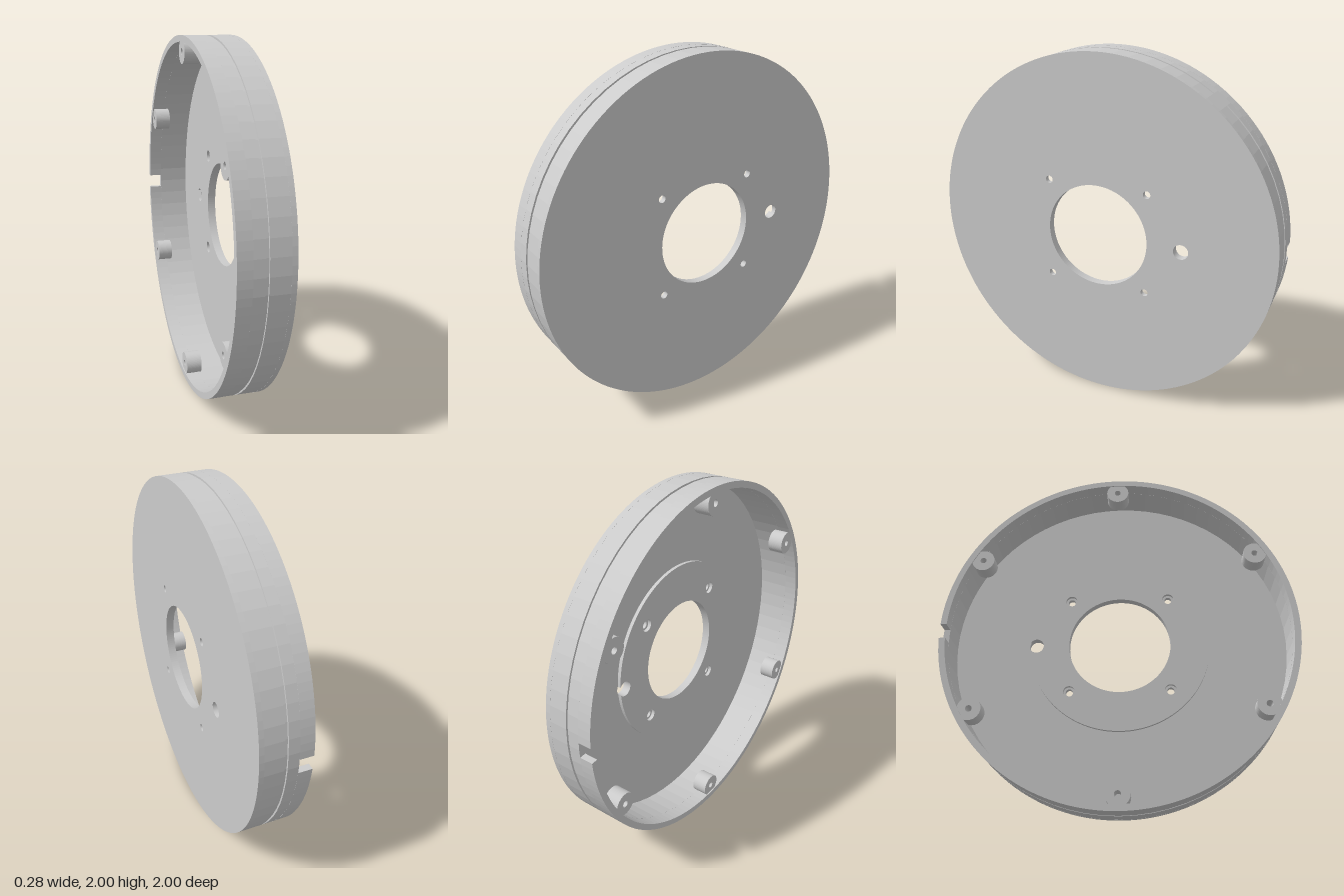
import * as THREE from 'three';

const SEG = 72;
const R = 1, R_IN = 0.965;                       // rim radii
const FACE = 0.14, FLOOR = 0.113, BOSS = 0.094;  // plate outside, pocket floor, boss top (x)
const OPEN = -0.14, SLOT = -0.065;               // open edge, bottom of rim slot (x)
const HUB = 0.297, CABLE_R = 0.042, CABLE_POS = 0.49, SCREW = 0.29;

const material = new THREE.MeshStandardMaterial({ color: 0xcccccc, flatShading: true });

function circle(x, y, r) {
  const p = new THREE.Path();
  p.absarc(x, y, r, 0, Math.PI * 2, true);
  return p;
}

// Extrudes a shape along x from x0 to x1 (shape x runs towards -z)
function slab(name, shape, x0, x1, segments = SEG) {
  const geo = new THREE.ExtrudeGeometry(shape, { depth: x1 - x0, bevelEnabled: false, curveSegments: segments });
  geo.rotateY(Math.PI / 2);
  geo.translate(x0, 0, 0);
  const mesh = new THREE.Mesh(geo, material);
  mesh.name = name;
  return mesh;
}

function addHubHoles(shape, screwRadius) {
  shape.holes.push(circle(0, 0, HUB));
  for (const sx of [-1, 1]) for (const sy of [-1, 1])
    shape.holes.push(circle(sx * SCREW, sy * SCREW, screwRadius));
}

export function createModel() {
  const model = new THREE.Group();
  const body = new THREE.Group();
  body.name = 'roundHousing';
  body.position.y = 1;
  model.add(body);

  // Face plate with hub opening, screw holes and cable hole
  const plate = new THREE.Shape();
  plate.absarc(0, 0, R, 0, Math.PI * 2, false);
  addHubHoles(plate, 0.021);
  plate.holes.push(circle(CABLE_POS, 0, CABLE_R));
  body.add(slab('facePlate', plate, FLOOR, FACE));

  // Raised boss on the pocket floor; the cable hole bites through its edge
  const rb = 0.525;
  const xi = (rb * rb + CABLE_POS * CABLE_POS - CABLE_R * CABLE_R) / (2 * CABLE_POS);
  const yi = Math.sqrt(rb * rb - xi * xi);
  const a = Math.atan2(yi, xi), b = Math.atan2(yi, xi - CABLE_POS);
  const boss = new THREE.Shape();
  boss.absarc(0, 0, rb, a, Math.PI * 2 - a, false);
  boss.absarc(CABLE_POS, 0, CABLE_R, Math.PI * 2 - b, b, true);
  addHubHoles(boss, 0.034);
  body.add(slab('hubBoss', boss, BOSS, FLOOR));

  // Rim wall with a fine groove round the outside
  const profile = [
    [R_IN, FLOOR], [R_IN, SLOT], [R, SLOT], [R, -0.006],
    [R - 0.01, -0.006], [R - 0.01, 0.01], [R, 0.01], [R, FLOOR],
  ].map(([r, h]) => new THREE.Vector2(r, h));
  const wallGeo = new THREE.LatheGeometry(profile, SEG);
  wallGeo.rotateZ(-Math.PI / 2);
  const wall = new THREE.Mesh(wallGeo, material);
  wall.name = 'rimWall';
  body.add(wall);

  // Open edge of the rim, interrupted by the cable slot at the back
  const half = Math.asin(0.0425);
  const edge = new THREE.Shape();
  edge.absarc(0, 0, R, half, Math.PI * 2 - half, false);
  edge.absarc(0, 0, R_IN, Math.PI * 2 - half, half, true);
  edge.closePath();
  body.add(slab('slottedRimEdge', edge, OPEN, SLOT));

  // Six short screw posts fused to the inside of the rim
  for (let i = 0; i < 6; i++) {
    const t = Math.PI / 6 + i * Math.PI / 3;
    const x = 0.915 * Math.cos(t), y = 0.915 * Math.sin(t);
    const post = new THREE.Shape();
    post.absarc(x, y, 0.065, 0, Math.PI * 2, false);
    post.holes.push(circle(x, y, 0.018));
    body.add(slab('screwPost', post, OPEN + 0.006, -0.045, 28));
  }
  return model;
}
